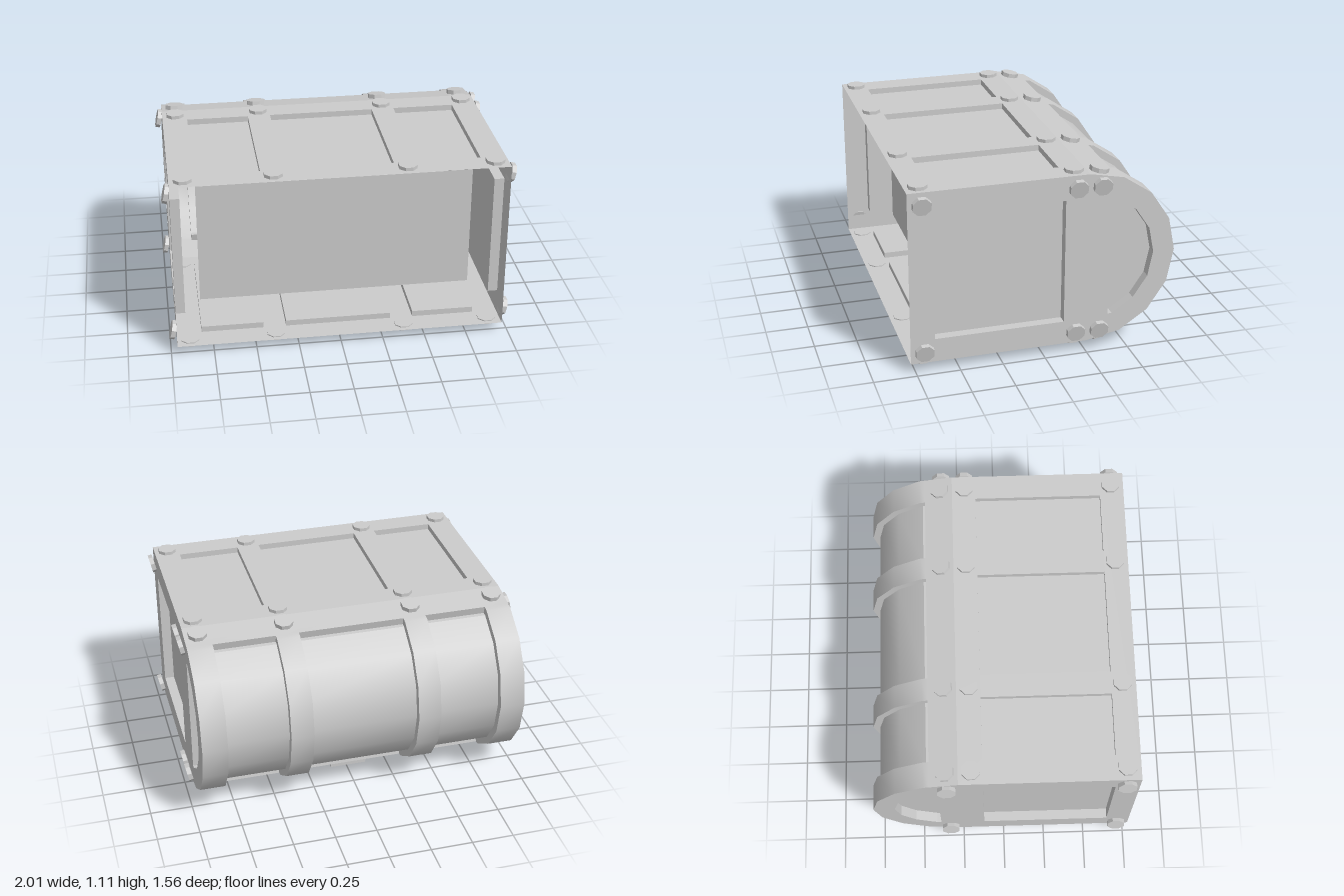
import * as THREE from 'three';
import { mergeGeometries, toCreasedNormals } from 'three/addons/utils/BufferGeometryUtils.js';

const W = 0.963, CY = 0.576, R = 0.517, FRONT = 0.778, HINGE = -0.26;
const material = new THREE.MeshStandardMaterial({ color: 0xcccccc, side: THREE.DoubleSide });

// Connects rows of points (all the same length) with quads
function skin(rows) {
  const pos = [];
  for (let i = 0; i < rows.length - 1; i++) {
    for (let j = 0; j < rows[i].length - 1; j++) {
      const a = rows[i][j], b = rows[i + 1][j], c = rows[i + 1][j + 1], d = rows[i][j + 1];
      pos.push(...a, ...b, ...c, ...a, ...c, ...d);
    }
  }
  const g = new THREE.BufferGeometry();
  g.setAttribute('position', new THREE.Float32BufferAttribute(pos, 3));
  g.computeVertexNormals();
  return g;
}

// Flat thin wall whose panels are pressed in by a depth
function pressedWall(outline, panels, depth) {
  const toShape = pts => new THREE.Shape(pts.map(p => new THREE.Vector2(...p)));
  const sheet = toShape(outline);
  const parts = [];
  for (const p of panels) {
    sheet.holes.push(new THREE.Path(p.map(q => new THREE.Vector2(...q))));
    parts.push(new THREE.ShapeGeometry(toShape(p)).translate(0, 0, -depth));
    const loop = [...p, p[0]];
    parts.push(skin([loop.map(q => [...q, 0]), loop.map(q => [...q, -depth])]));
  }
  parts.push(new THREE.ShapeGeometry(sheet));
  return mergeGeometries(parts.map(g => {
    const flat = g.index ? g.toNonIndexed() : g;
    flat.deleteAttribute('uv');
    return flat;
  }));
}

const rect = (a0, a1, b0, b1) => [[a0, b0], [a1, b0], [a1, b1], [a0, b1]];

// Points [z, y] of the half-round lid, top to bottom
function arc(r, from = 0, to = 8) {
  const pts = [];
  for (let i = from; i <= to; i++) {
    const t = Math.PI / 2 - i * Math.PI / 8;
    pts.push([HINGE - r * Math.cos(t), CY + r * Math.sin(t)]);
  }
  return pts;
}

export function createModel() {
  const model = new THREE.Group();
  const add = (name, geometry, parent = model) => {
    const mesh = new THREE.Mesh(geometry, material);
    mesh.name = name;
    parent.add(mesh);
    return mesh;
  };

  // Long walls with three pressed panels each
  const spans = [[-0.815, -0.448], [-0.313, 0.313], [0.448, 0.815]];
  const longWall = s => pressedWall(
    rect(-W, W, s * HINGE, s * FRONT),
    spans.map(([a, b]) => rect(a, b, s * -0.12, s * 0.635)), 0.035);
  add('topWall', longWall(-1).rotateX(-Math.PI / 2).translate(0, CY + R, 0));
  add('bottomWall', longWall(1).rotateX(Math.PI / 2).translate(0, CY - R, 0));

  // End walls: body rectangle plus rounded lid end
  const endWall = s => {
    const flip = pts => pts.map(([z, y]) => [s * z, y]);
    const outline = [[FRONT, CY + R], ...arc(R), [FRONT, CY - R]];
    const lidPanel = [[-0.385, 0.938], ...arc(0.39, 1, 7), [-0.385, 0.214]];
    return pressedWall(flip(outline),
      [flip(rect(-0.12, 0.638, 0.2, 0.95)), flip(lidPanel)], 0.058);
  };
  add('leftEndWall', endWall(-1).rotateY(Math.PI / 2).translate(W, 0, 0));
  add('rightEndWall', endWall(1).rotateY(-Math.PI / 2).translate(-W, 0, 0));

  // Inner board set back inside the opening
  add('innerBoard', new THREE.PlaneGeometry(1.62, 0.75).translate(0, CY, 0.5));

  // Curved lid: raised bands alternate with sunken panels
  const section = (x, sunken) => {
    const lip = [-0.425, 1.06], inner = sunken ? [-0.416, 1.015] : lip;
    const mirror = ([z, y]) => [z, 2 * CY - y];
    const pts = [[HINGE, CY + R], lip, inner, ...arc(sunken ? 0.473 : R, 1, 7),
      mirror(inner), mirror(lip), [HINGE, CY - R]];
    return pts.map(([z, y]) => [x, y, z]);
  };
  const sections = [section(-W, false)];
  for (const [a, b] of spans) {
    sections.push(section(a, false), section(a, true), section(b, true), section(b, false));
  }
  sections.push(section(W, false));
  add('lidBarrel', toCreasedNormals(skin(sections), 0.5));

  // Eight-sided rivets
  const rivets = new THREE.Group();
  rivets.name = 'rivets';
  model.add(rivets);
  const rivetShape = new THREE.CylinderGeometry(0.056, 0.056, 0.026, 8)
    .rotateY(Math.PI / 8).toNonIndexed();
  rivetShape.computeVertexNormals();
  const rivet = (x, y, z, rx, rz) => {
    const m = add('rivet', rivetShape, rivets);
    m.position.set(x, y, z);
    m.rotation.set(rx, 0, rz);
  };
  for (const s of [1, -1]) {
    for (const x of [-0.885, -0.381, 0.381, 0.885]) {
      rivet(x, CY + s * (R + 0.007), 0.7, 0, 0);
      rivet(x, CY + s * (R + 0.007), -0.187, 0, 0);
      rivet(x, CY + s * (R - 0.002), -0.337, -s * 0.2, 0);
    }
    // End rivets lean slightly off the wall
    const tilt = Math.PI / 2 - 0.22;
    for (const z of [0.7, -0.187, -0.328]) {
      rivet(0.982, CY + s * 0.445, z, 0, tilt);
      if (z !== -0.187) rivet(-0.982, CY + s * 0.445, z, 0, tilt);
    }
  }

  // Lock: plate on the body, strap on the lid, ring through the plate
  const lock = new THREE.Group();
  lock.name = 'lock';
  model.add(lock);
  add('lockPlate', new THREE.BoxGeometry(0.22, 0.014, 0.22).translate(0, 0.043, -0.19), lock);
  add('lockStrap', new THREE.BoxGeometry(0.22, 0.04, 0.075).translate(0, 0.053, -0.337), lock);
  add('lockRing', new THREE.TorusGeometry(0.042, 0.011, 8, 20)
    .rotateY(Math.PI / 2).translate(0, 0.054, -0.187), lock);

  return model;
}
